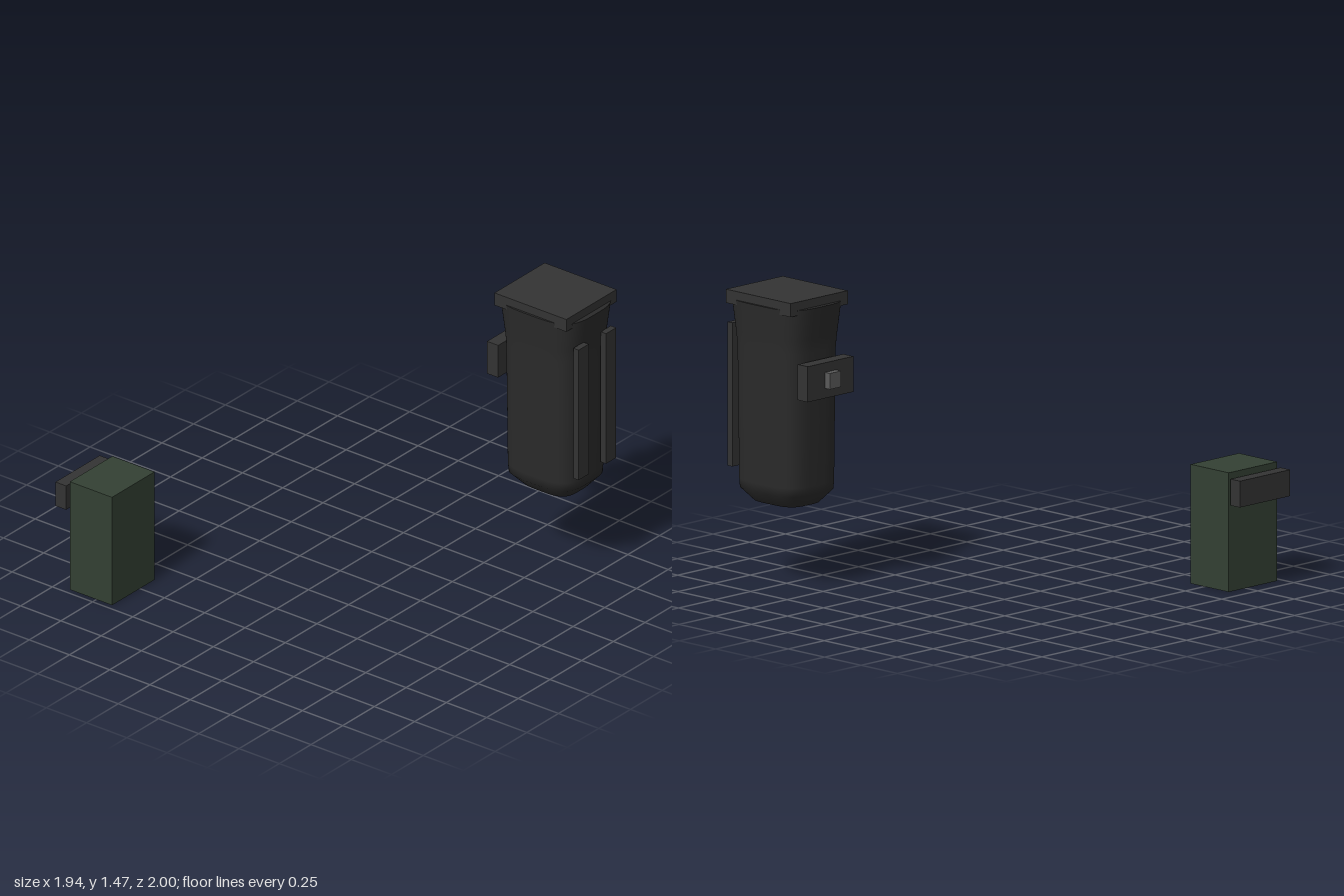
import * as THREE from 'three';

const material = (name, color) => {
  const m = new THREE.MeshStandardMaterial({ color });
  m.name = name;
  return m;
};

// Smooth shell lofted through superellipse rings [y, halfX, halfZ], capped at both ends.
function loftGeometry(rings, power, segments) {
  const positions = [], index = [];
  for (const [y, hx, hz] of rings) {
    for (let i = 0; i < segments; i++) {
      const a = (i / segments) * Math.PI * 2;
      const c = Math.cos(a), s = Math.sin(a);
      positions.push(
        hx * Math.sign(c) * Math.abs(c) ** (2 / power), y,
        hz * Math.sign(s) * Math.abs(s) ** (2 / power));
    }
  }
  for (let r = 0; r < rings.length - 1; r++) {
    for (let i = 0; i < segments; i++) {
      const j = (i + 1) % segments;
      const a = r * segments + i, b = r * segments + j;
      const c = a + segments, d = b + segments;
      index.push(a, c, b, b, c, d);
    }
  }
  // End caps with their own vertices so the rims stay sharp
  for (const [ring, top] of [[0, false], [rings.length - 1, true]]) {
    const start = positions.length / 3;
    for (let i = 0; i < segments; i++) {
      const k = (ring * segments + i) * 3;
      positions.push(positions[k], positions[k + 1], positions[k + 2]);
    }
    positions.push(0, rings[ring][0], 0);
    const centre = start + segments;
    for (let i = 0; i < segments; i++) {
      const a = start + i, b = start + (i + 1) % segments;
      if (top) index.push(centre, b, a);
      else index.push(centre, a, b);
    }
  }
  const geometry = new THREE.BufferGeometry();
  geometry.setAttribute('position', new THREE.Float32BufferAttribute(positions, 3));
  geometry.setIndex(index);
  geometry.computeVertexNormals();
  return geometry;
}

export function createModel() {
  const shell = material('black shell', 0x2a2a2a);
  const trim = material('charcoal trim', 0x333333);
  const metal = material('grey metal', 0x5a5a5a);
  const olive = material('dark green', 0x334033);

  const model = new THREE.Group();
  // Box given by its minimum and maximum corners
  const box = (parent, name, mat, [x0, y0, z0], [x1, y1, z1]) => {
    const mesh = new THREE.Mesh(new THREE.BoxGeometry(x1 - x0, y1 - y0, z1 - z0), mat);
    mesh.position.set((x0 + x1) / 2, (y0 + y1) / 2, (z0 + z1) / 2);
    mesh.name = name;
    parent.add(mesh);
  };

  // Tall tapered case
  const tallCase = new THREE.Group();
  tallCase.name = 'tallCase';
  model.add(tallCase);
  const body = new THREE.Mesh(loftGeometry([
    [0.42, 0.123, 0.152],
    [0.485, 0.183, 0.21],
    [0.53, 0.185, 0.214],
    [0.85, 0.189, 0.216],
    [1.2, 0.193, 0.22],
    [1.27, 0.197, 0.228],
    [1.43, 0.21, 0.249],
  ], 3.5, 64), shell);
  body.name = 'caseBody';
  body.position.set(0.759, 0, 0.741);
  tallCase.add(body);

  box(tallCase, 'caseLid', trim, [0.561, 1.405, 0.517], [0.957, 1.473, 0.963]);
  for (const side of [-1, 1]) {
    const x = 0.759 + side * 0.108;
    box(tallCase, 'frontStrip', trim, [x - 0.04, 0.575, 0.967], [x + 0.04, 1.295, 1]);
  }
  box(tallCase, 'backClip', trim, [0.6, 0.985, 0.44], [0.917, 1.163, 0.509]);
  box(tallCase, 'clipButton', metal, [0.72, 1.035, 0.406], [0.798, 1.115, 0.442]);

  // Small pouch with its rear strap
  const pouch = new THREE.Group();
  pouch.name = 'pouch';
  model.add(pouch);
  box(pouch, 'pouchBody', olive, [-0.969, 0, -0.916], [-0.633, 0.597, -0.654]);
  box(pouch, 'pouchStrap', trim, [-0.975, 0.438, -1], [-0.626, 0.57, -0.934]);

  return model;
}
